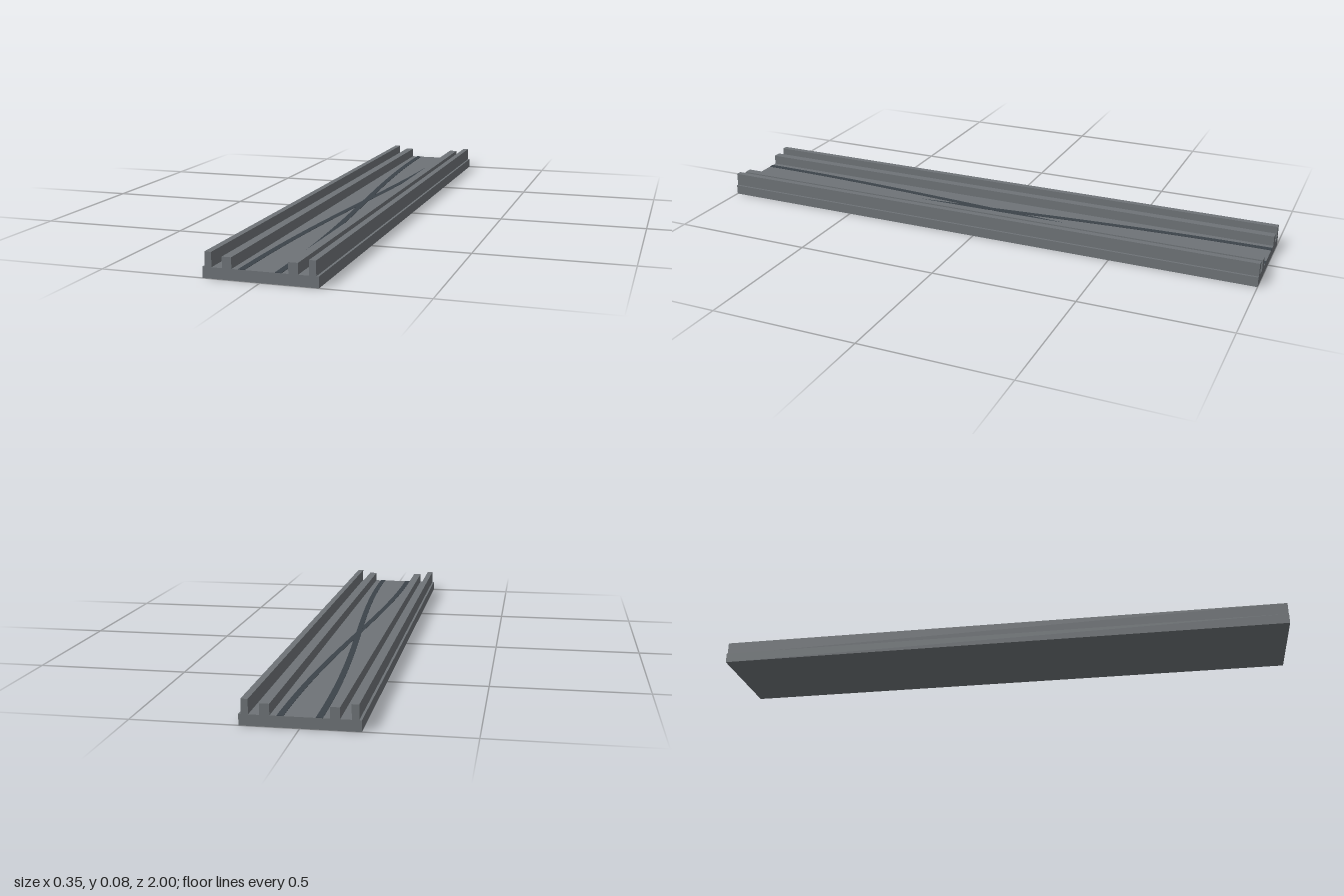
import * as THREE from 'three';

export function createModel() {
  const group = new THREE.Group();
  const concrete = new THREE.MeshStandardMaterial({ color: 0x6e7377 });
  concrete.name = 'concrete grey';
  const dark = new THREE.MeshStandardMaterial({ color: 0x3c434a });
  dark.name = 'dark grey';

  const DECK = 0.034;

  function addBar(name, x, width, bottom, top) {
    const mesh = new THREE.Mesh(new THREE.BoxGeometry(width, top - bottom, 2), concrete);
    mesh.position.set(x, (bottom + top) / 2, 0);
    mesh.name = name;
    group.add(mesh);
  }

  // Base slab and the two pairs of raised rails
  addBar('deck', 0, 0.352, 0, DECK);
  for (const [side, s] of [['left', 1], ['right', -1]]) {
    addBar(side + 'OuterRail', s * 0.158, 0.021, DECK, 0.079);
    addBar(side + 'InnerRail', s * 0.1005, 0.029, DECK, 0.068);
  }

  // Two thin crossing strips, each following a gentle S-curve along the deck
  function crossingStrip(name, s, height) {
    const steps = 32, half = 0.01, near = [], far = [];
    for (let i = 0; i <= steps; i++) {
      const t = -1 + (2 * i) / steps;
      const x = s * 0.056 * Math.sin((t * Math.PI) / 2);
      near.push(new THREE.Vector2(x - half, t));
      far.unshift(new THREE.Vector2(x + half, t));
    }
    const geometry = new THREE.ExtrudeGeometry(new THREE.Shape([...near, ...far]), {
      depth: height, bevelEnabled: false,
    });
    geometry.rotateX(-Math.PI / 2);
    const mesh = new THREE.Mesh(geometry, dark);
    mesh.position.y = DECK;
    mesh.name = name;
    group.add(mesh);
  }
  crossingStrip('crossingStripA', 1, 0.001);
  crossingStrip('crossingStripB', -1, 0.0012);

  return group;
}
